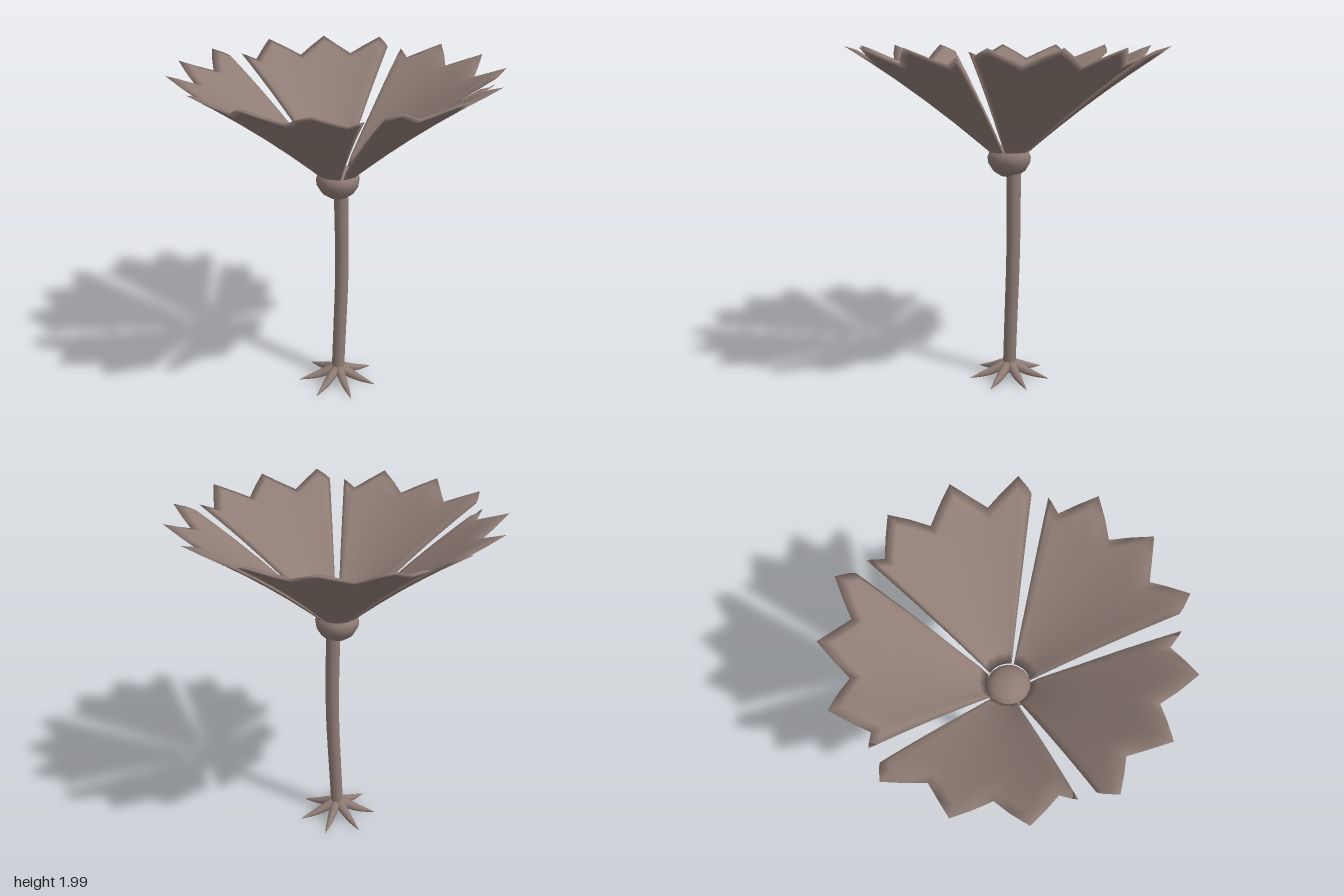
import * as THREE from 'three';
import { mergeVertices } from 'three/addons/utils/BufferGeometryUtils.js';

const brown = new THREE.MeshStandardMaterial({ color: 0x8f7c75 });
brown.name = 'dustyBrown';

function add(parent, name, geometry) {
  const mesh = new THREE.Mesh(geometry, brown);
  mesh.name = name;
  parent.add(mesh);
  return mesh;
}

// Round tube along a curve whose radius follows radiusAt(t), closed at both ends
function taperedTube(points, radiusAt, steps, sides) {
  const curve = new THREE.CatmullRomCurve3(points.map(p => new THREE.Vector3(...p)));
  const geo = new THREE.TubeGeometry(curve, steps, 1, sides, false);
  const pos = geo.attributes.position;
  const v = new THREE.Vector3();
  for (let i = 0; i <= steps; i++) {
    const centre = curve.getPointAt(i / steps);
    for (let j = 0; j <= sides; j++) {
      const k = i * (sides + 1) + j;
      v.fromBufferAttribute(pos, k).sub(centre).multiplyScalar(radiusAt(i / steps)).add(centre);
      pos.setXYZ(k, v.x, v.y, v.z);
    }
  }
  return geo;
}

// Toothed rim of a petal: angle in degrees from its middle line, radius
const rim = [[-33, 0.845], [-31.5, 0.83], [-28, 0.79], [-22.5, 0.85], [-17, 0.92], [-11.5, 0.85],
  [-6, 0.785], [0, 0.85], [5.6, 0.92], [11, 0.85], [17, 0.79], [22.5, 0.85], [28, 0.92],
  [31.5, 0.875], [33, 0.85]];
const rows = [0, 0.07, 0.25, 0.45, 0.65, 0.82, 0.93, 1];

// Thin closed shell: outer and inner skins that meet along the whole edge
function petalGeometry() {
  const base = 0.12, thickness = 0.02, out = [];
  const point = (i, j, inner) => {
    const [deg, end] = rim[i];
    const edge = i === 0 || i === rim.length - 1 || j === 0 || j === rows.length - 1;
    const t = inner && !edge ? thickness : 0;
    const r = base + (end - base) * rows[j];
    const s = (r - base) / 0.8;
    const y = 1.4 + 0.6 * (1.17 * s - 0.17 * s * s) + 0.8 * t;
    const a = THREE.MathUtils.degToRad(deg);
    return [(r - 0.6 * t) * Math.cos(a), y, (r - 0.6 * t) * Math.sin(a)];
  };
  for (const inner of [false, true]) {
    for (let i = 0; i < rim.length - 1; i++) {
      for (let j = 0; j < rows.length - 1; j++) {
        const a = point(i, j, inner), b = point(i, j + 1, inner);
        const c = point(i + 1, j + 1, inner), d = point(i + 1, j, inner);
        const quad = inner ? [a, c, b, a, d, c] : [a, b, c, a, c, d];
        out.push(...quad.flat());
      }
    }
  }
  let geo = new THREE.BufferGeometry();
  geo.setAttribute('position', new THREE.Float32BufferAttribute(out, 3));
  geo = mergeVertices(geo, 1e-5);
  geo.computeVertexNormals();
  return geo;
}

export function createModel() {
  const model = new THREE.Group();
  model.name = 'flower';

  // Five petals around the cup
  const petals = new THREE.Group();
  petals.name = 'petals';
  const petal = petalGeometry();
  for (let i = 0; i < 5; i++) {
    add(petals, 'petal' + (i + 1), petal).rotation.y = i * Math.PI * 2 / 5;
  }
  model.add(petals);

  // Cup under the petals and the domed centre inside
  const cup = [[0, 1.25], [0.05, 1.255], [0.095, 1.285], [0.122, 1.33], [0.127, 1.365], [0.115, 1.395], [0.1, 1.41]];
  add(model, 'cup', new THREE.LatheGeometry(cup.map(p => new THREE.Vector2(...p)), 16));
  const dome = add(model, 'flowerCentre', new THREE.SphereGeometry(0.125, 20, 12));
  dome.scale.y = 0.65;
  dome.position.y = 1.36;

  // Gently bent stem
  add(model, 'stem', taperedTube(
    [[0, 0.06, 0], [0.015, 0.35, -0.004], [0.032, 0.7, -0.01], [0.035, 0.95, -0.014], [0.03, 1.28, -0.017]],
    t => 0.039 + 0.003 * t, 16, 12));

  // Seven pointed roots
  const roots = new THREE.Group();
  roots.name = 'roots';
  const root = taperedTube([[0, 0.085, 0], [0.05, 0.068, 0], [0.13, 0.036, 0], [0.245, 0.006, 0]],
    t => 0.03 * (1 - t * t) + 0.001, 8, 8);
  for (let i = 0; i < 7; i++) {
    add(roots, 'root' + (i + 1), root).rotation.y = 0.05 - i * Math.PI * 2 / 7;
  }
  model.add(roots);
  const core = add(model, 'rootCore', new THREE.SphereGeometry(0.042, 12, 8));
  core.position.y = 0.065;

  return model;
}
